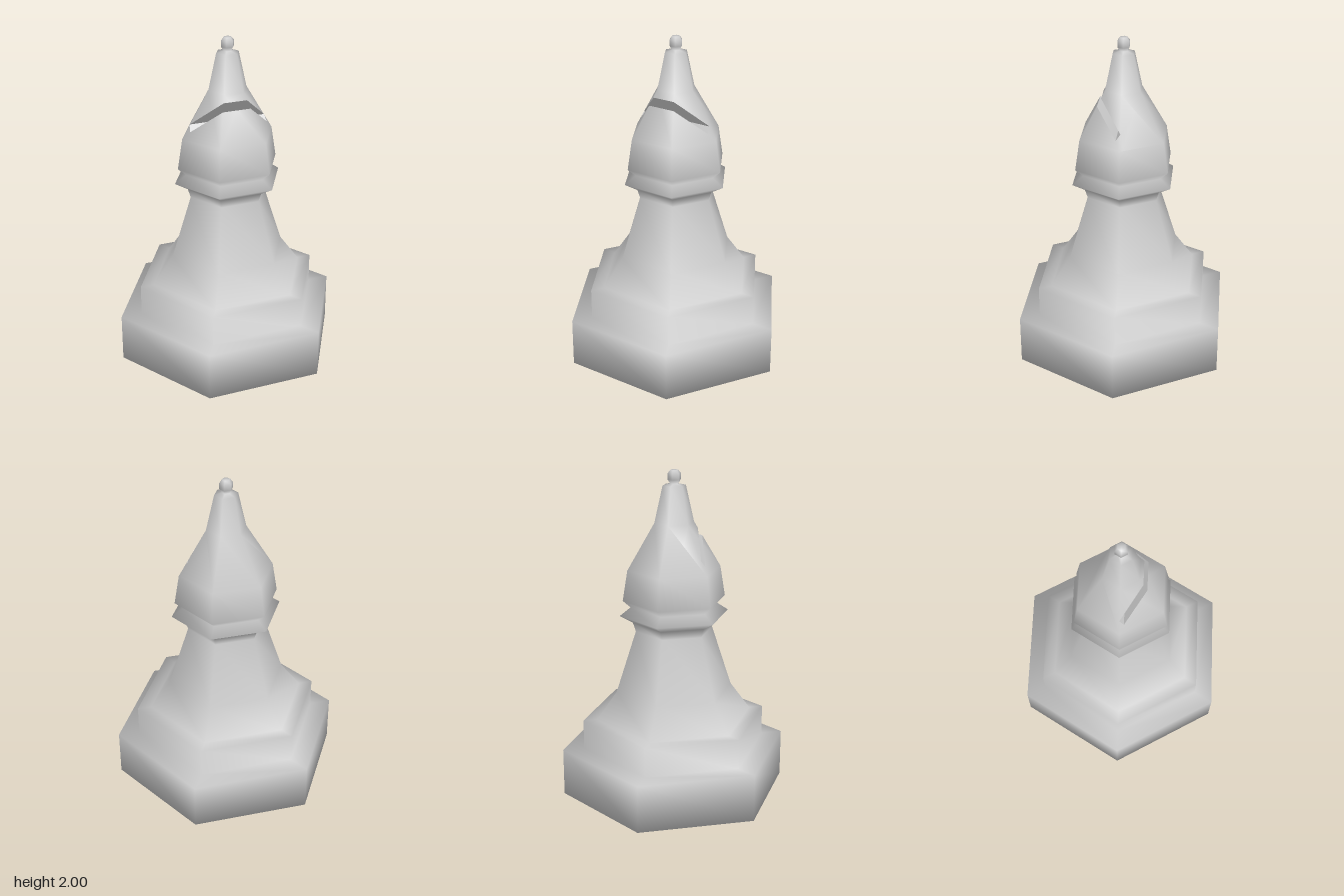
import * as THREE from 'three';
import { mergeVertices } from 'three/addons/utils/BufferGeometryUtils.js';

// Hexagonal outline: [corner radius, height]
const PROFILE = [
  [0, 0], [0.7, 0], [0.7, 0.293], [0.57, 0.293], [0.57, 0.477], [0.485, 0.477],
  [0.36, 0.65], [0.237, 1.03], [0.255, 1.085], [0.335, 1.132], [0.265, 1.18],
  [0.315, 1.225], [0.285, 1.41], [0.12, 1.69], [0.07, 1.91], [0.025, 1.92],
  [0.04, 1.945], [0.04, 1.98], [0.024, 2], [0, 2],
];
const CROWN = [PROFILE[12], PROFILE[13]]; // sloped band that the slot is cut into

// Parts of the turned body, each up to the given height
const PARTS = [['base', 0.477], ['stem', 1.085], ['collar', 1.18], ['head', 1.915], ['finial', 3]];

// Slot seen from the side, as [z, y]
const SLOT = [[0.151, 1.607], [0.024, 1.459], [-0.003, 1.496], [0.13, 1.655]];

const vertex = (p, n) => ({ p, n });

// Splits a polygon by a plane into the pieces in front of and behind it
function split(poly, plane) {
  const front = [], back = [];
  poly.forEach((a, i) => {
    const b = poly[(i + 1) % poly.length];
    const da = plane.distanceToPoint(a.p), db = plane.distanceToPoint(b.p);
    if (da >= 0) front.push(a);
    if (da <= 0) back.push(a);
    if (da * db < 0) {
      const t = da / (da - db);
      const cut = vertex(a.p.clone().lerp(b.p, t), a.n.clone().lerp(b.n, t).normalize());
      front.push(cut);
      back.push(cut);
    }
  });
  return [front, back].map((f) => (f.length > 2 ? f : null));
}

// The slot's three walls as planes facing out of the slot
function slotPlanes() {
  return [0, 1, 2].map((i) => {
    const [z0, y0] = SLOT[i], [z1, y1] = SLOT[i + 1];
    const n = new THREE.Vector3(0, z1 - z0, y0 - y1).normalize();
    const plane = new THREE.Plane().setFromNormalAndCoplanarPoint(n, new THREE.Vector3(0, y0, z0));
    const [zc, yc] = SLOT[(i + 3) % 4]; // another corner must lie inside
    const inside = new THREE.Vector3(0, yc, zc);
    return plane.distanceToPoint(inside) > 0 ? plane.negate() : plane;
  });
}

// Removes the slot from a polygon
function cutSlot(poly, planes) {
  const kept = [];
  let rest = poly;
  for (const plane of planes) {
    const [out, inside] = split(rest, plane);
    if (!inside) return [poly];
    if (out) kept.push(out);
    rest = inside;
  }
  return kept;
}

// Slot walls, trimmed to the six sides of the crown
function slotWalls(planes) {
  const [[r0, y0], [r1, y1]] = CROWN;
  const slope = (r0 - r1) / (y1 - y0), c = Math.cos(Math.PI / 6);
  const sides = Array.from({ length: 6 }, (_, k) => {
    const a = (k + 0.5) * Math.PI / 3;
    return new THREE.Plane(new THREE.Vector3(Math.cos(a), c * slope, Math.sin(a)), -c * (r0 + slope * y0));
  });
  return planes.map((plane, i) => {
    const n = plane.normal.clone().negate();
    const ends = [SLOT[i], SLOT[i + 1]].map(([z, y]) => new THREE.Vector3(0, y, z));
    // lengthen the long walls so that they reach the surface
    const dir = ends[1].clone().sub(ends[0]).normalize();
    if (i === 0) ends[0].addScaledVector(dir, -0.1);
    if (i === 2) ends[1].addScaledVector(dir, 0.1);
    const at = (e, x) => vertex(ends[e].clone().setX(x), n);
    let wall = [at(0, -1), at(1, -1), at(1, 1), at(0, 1)];
    for (const side of sides) wall = wall && split(wall, side)[1];
    if (!wall) return null;
    const facing = wall[1].p.clone().sub(wall[0].p).cross(wall[2].p.clone().sub(wall[0].p));
    return facing.dot(n) < 0 ? wall.reverse() : wall;
  }).filter(Boolean);
}

// Smooth six-sided body as a list of triangles
function bodyTriangles() {
  const points = PROFILE.map(([r, y]) => new THREE.Vector2(r, y));
  let geo = new THREE.LatheGeometry(points, 6, Math.PI / 2);
  geo.deleteAttribute('uv');
  geo.deleteAttribute('normal');
  geo = mergeVertices(geo, 1e-4);
  geo.computeVertexNormals();
  const { position, normal } = geo.attributes;
  const tris = [];
  for (let i = 0; i < geo.index.count; i += 3) {
    const ids = [0, 1, 2].map((k) => geo.index.getX(i + k));
    if (new Set(ids).size < 3) continue;
    tris.push(ids.map((v) => vertex(
      new THREE.Vector3().fromBufferAttribute(position, v),
      new THREE.Vector3().fromBufferAttribute(normal, v))));
  }
  return tris;
}

function toGeometry(polys) {
  const pos = [], nor = [];
  for (const poly of polys) {
    for (let i = 1; i < poly.length - 1; i++) {
      for (const v of [poly[0], poly[i], poly[i + 1]]) {
        pos.push(...v.p.toArray());
        nor.push(...v.n.toArray());
      }
    }
  }
  const geo = new THREE.BufferGeometry();
  geo.setAttribute('position', new THREE.Float32BufferAttribute(pos, 3));
  geo.setAttribute('normal', new THREE.Float32BufferAttribute(nor, 3));
  return geo;
}

export function createModel() {
  const group = new THREE.Group();
  group.name = 'bishop';
  const material = new THREE.MeshStandardMaterial({ color: 0xcccccc });
  const add = (name, polys) => {
    const mesh = new THREE.Mesh(toGeometry(polys), material);
    mesh.name = name;
    group.add(mesh);
  };

  // Turned body with the slot cut out, sorted into parts by height
  const planes = slotPlanes();
  const polys = bodyTriangles().flatMap((tri) => cutSlot(tri, planes));
  const height = (poly) => poly.reduce((sum, v) => sum + v.p.y, 0) / poly.length;
  let floor = -1;
  for (const [name, top] of PARTS) {
    const from = floor;
    add(name, polys.filter((p) => height(p) > from + 1e-4 && height(p) <= top + 1e-4));
    floor = top;
  }

  // Inner walls of the slot
  add('slotWalls', slotWalls(planes));
  return group;
}
